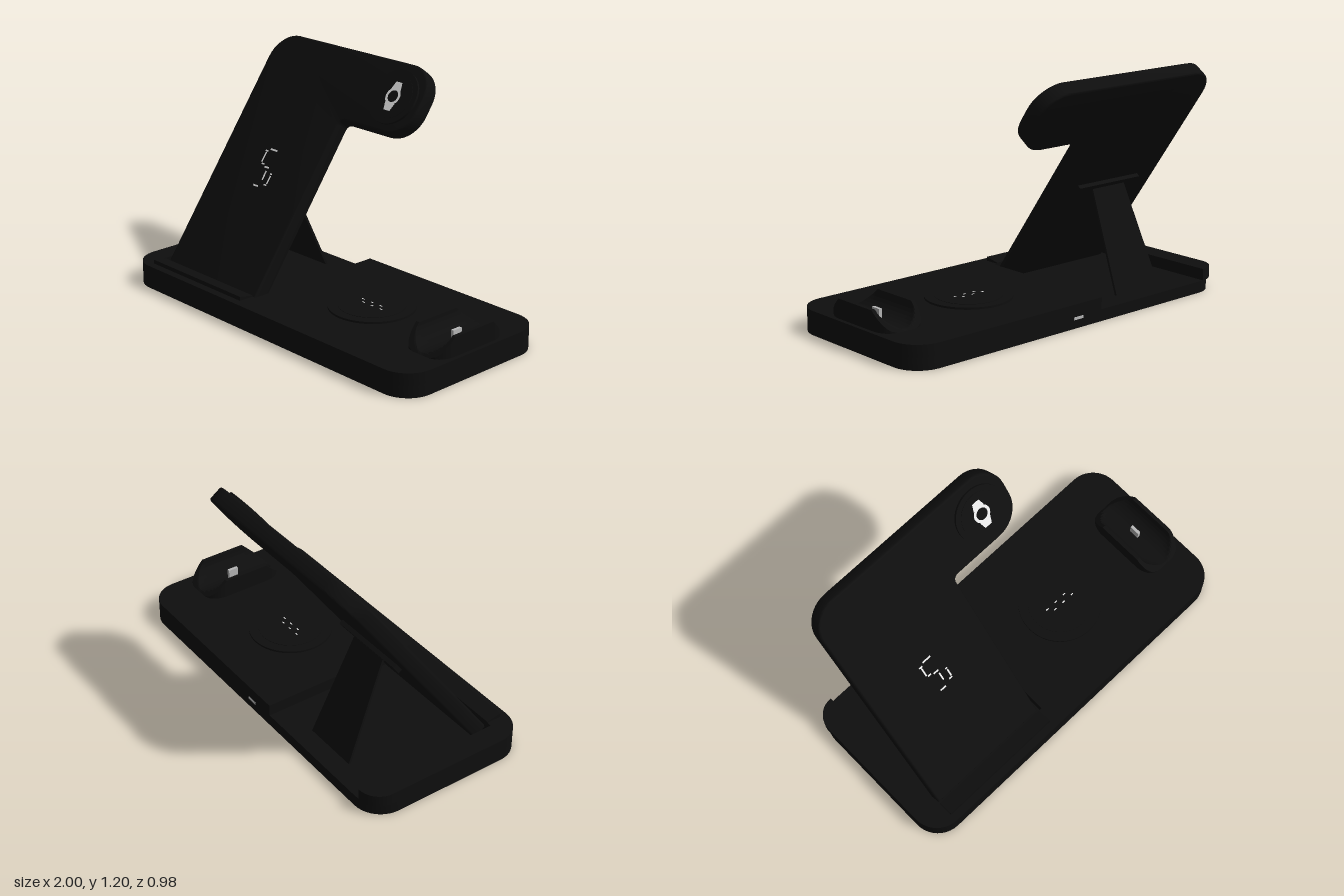
import * as THREE from 'three';
import { toCreasedNormals } from 'three/addons/utils/BufferGeometryUtils.js';

const material = (name, color) => {
  const m = new THREE.MeshStandardMaterial({ color });
  m.name = name;
  return m;
};

export function createModel() {
  const black = material('black plastic', 0x0e0e0e);
  const white = material('white print', 0xeeeeee);
  const metal = material('connector metal', 0xb8b8b8);
  const model = new THREE.Group();
  model.name = 'chargingStand';

  const add = (parent, name, geo, mat, x = 0, y = 0, z = 0) => {
    const mesh = new THREE.Mesh(geo, mat);
    mesh.name = name;
    mesh.position.set(x, y, z);
    parent.add(mesh);
    return mesh;
  };
  const box = (w, h, d) => new THREE.BoxGeometry(w, h, d);

  // Closed outline from [x, y, cornerRadius] points
  const outline = (pts) => {
    const s = new THREE.Shape();
    const n = pts.length;
    pts.forEach(([x, y, r], i) => {
      const toward = ([px, py]) => {
        const l = Math.hypot(px - x, py - y);
        return [x + (px - x) / l * r, y + (py - y) / l * r];
      };
      const a = toward(pts[(i + n - 1) % n]), b = toward(pts[(i + 1) % n]);
      if (i === 0) s.moveTo(...a); else s.lineTo(...a);
      if (r > 0) {
        const k = 0.552;
        s.bezierCurveTo(a[0] + (x - a[0]) * k, a[1] + (y - a[1]) * k,
          b[0] + (x - b[0]) * k, b[1] + (y - b[1]) * k, ...b);
      }
    });
    s.closePath();
    return s;
  };
  const extrude = (shape, depth, bevel = 0) => {
    const g = new THREE.ExtrudeGeometry(shape, {
      depth: depth - 2 * bevel, curveSegments: 10, bevelEnabled: bevel > 0,
      bevelSize: bevel, bevelThickness: bevel, bevelOffset: -bevel, bevelSegments: 3,
    });
    g.translate(0, 0, bevel);
    return toCreasedNormals(g, 0.6);
  };

  // Base: a full lower slab and an upper slab with the folding bay cut in from the back
  const R = 0.145, F = -0.49, B = 0.41;
  const lower = outline([[-1, F, R], [1, F, R], [1, B, R], [-1, B, R]]);
  const upper = outline([[-1, F, R], [1, F, R], [1, B, R], [-0.155, B, 0],
    [-0.155, -0.37, 0], [-0.885, -0.37, 0], [-0.885, B, 0], [-1, B, 0.11]]);
  [['baseLower', lower, 0], ['baseUpper', upper, 0.06]].forEach(([name, shape, y]) => {
    add(model, name, extrude(shape, 0.06).rotateX(-Math.PI / 2), black, 0, y, 0);
  });

  // Phone stop along the front of the bay
  const stop = outline([[0.37, 0.115, 0], [0.45, 0.115, 0], [0.45, 0.141, 0], [0.37, 0.126, 0]]);
  add(model, 'phoneStop', extrude(stop, 0.685).rotateY(-Math.PI / 2), black, -0.175);

  // Round pad on the base
  add(model, 'padRim', new THREE.CylinderGeometry(0.215, 0.215, 0.012, 64), black, 0.31, 0.124, 0.03);
  add(model, 'padCentre', new THREE.CylinderGeometry(0.165, 0.165, 0.012, 64), black, 0.31, 0.126, 0.03);
  for (let i = 0; i < 6; i++) {
    const side = i % 2 ? 1 : -1;
    add(model, 'padMark', box(0.016, 0.001, 0.006), white,
      0.235 + i * 0.03, 0.1325, 0.03 + side * 0.014);
  }

  // Earphone cradle: saddle section run along z, then trimmed by sloping ends
  const cx = 0.8575, half = 0.1225, top = 0.217;
  const saddle = new THREE.Shape();
  saddle.moveTo(-half, 0.11);
  saddle.lineTo(half, 0.11);
  saddle.lineTo(half, top);
  saddle.lineTo(0.103, top);
  for (let i = 1; i <= 16; i++) {
    const a = i / 16 * Math.PI;
    saddle.lineTo(0.103 * Math.cos(a), top - 0.09 * Math.sin(a));
  }
  saddle.lineTo(-half, top);
  saddle.closePath();
  const z0 = -0.185, z1 = 0.265;
  const cradle = new THREE.ExtrudeGeometry(saddle, { depth: z1 - z0, steps: 36, bevelEnabled: false });
  cradle.translate(0, 0, z0);
  const p = cradle.attributes.position;
  for (let i = 0; i < p.count; i++) {
    const z = p.getZ(i);
    const d = Math.max(0, Math.min(z - z0, z1 - z));
    const t = 1 - Math.min(d / 0.1, 1);
    p.setX(i, p.getX(i) * (0.4 + 0.6 * Math.sqrt(1 - t * t)));
    p.setY(i, Math.min(p.getY(i), 0.119 + d * 0.98));
  }
  cradle.computeVertexNormals();
  add(model, 'earphoneCradle', cradle, black, cx);
  add(model, 'cradlePlug', box(0.016, 0.06, 0.055), metal, 0.862, 0.15, 0.032);

  // Power socket in the back wall
  add(model, 'powerSocket', box(0.06, 0.014, 0.006), metal, 0, 0.05, -0.409);

  // Leaning back panel with the side arm; its front face is local z = 0
  const panel = new THREE.Group();
  panel.name = 'backPanel';
  panel.position.set(0, 0.12, 0.35);
  panel.rotation.x = -0.6225;
  model.add(panel);
  const body = outline([[-0.857, -0.02, 0], [-0.176, -0.02, 0], [-0.176, 0.965, 0.03],
    [0.275, 0.965, 0.15], [0.275, 1.332, 0.15], [-0.857, 1.332, 0.15]]);
  add(panel, 'panelBody', extrude(body, 0.08, 0.01), black, 0, 0, -0.08);
  add(panel, 'hingeBar', box(0.42, 0.055, 0.03), black, -0.515, 0.61, -0.087);

  // Watch pad on the arm, with a printed watch mark
  const wx = 0.1, wy = 1.147;
  const disc = (r, h) => new THREE.CylinderGeometry(r, r, h, 56).rotateX(Math.PI / 2);
  add(panel, 'watchPadRim', disc(0.143, 0.02), black, wx, wy, 0.002);
  add(panel, 'watchPadCentre', disc(0.115, 0.02), black, wx, wy, 0.004);
  add(panel, 'watchMarkCase', new THREE.RingGeometry(0.031, 0.046, 32), white, wx, wy, 0.0155);
  const strap = outline([[-0.032, 0.036, 0], [0.032, 0.036, 0], [0.02, 0.076, 0], [-0.02, 0.076, 0]]);
  [0, Math.PI].forEach((turn) => {
    add(panel, 'watchMarkStrap', new THREE.ShapeGeometry(strap).rotateZ(turn), white, wx, wy, 0.0152);
  });

  // Printed phone mark: broken outline strokes [x, y, width, height]
  [[-0.505, 0.714, 0.05, 0.009], [-0.55, 0.7, 0.02, 0.009], [-0.55, 0.665, 0.008, 0.055],
    [-0.535, 0.63, 0.02, 0.008], [-0.5, 0.618, 0.03, 0.009], [-0.49, 0.575, 0.008, 0.05],
    [-0.449, 0.592, 0.012, 0.008], [-0.447, 0.56, 0.008, 0.045], [-0.455, 0.53, 0.02, 0.008],
    [-0.515, 0.512, 0.035, 0.009]].forEach(([x, y, w, h]) => {
    add(panel, 'phoneMark', box(w, h, 0.002), white, x, y, 0.001);
  });

  // Kickstand from the hinge down into the bay
  const leg = outline([[-0.15, 0, 0], [0.15, 0, 0], [0.11, 0.545, 0], [-0.11, 0.545, 0]]);
  const stand = add(model, 'kickstand', extrude(leg, 0.012), black, -0.515, 0.058, -0.306);
  stand.rotation.x = 0.406;

  return model;
}
